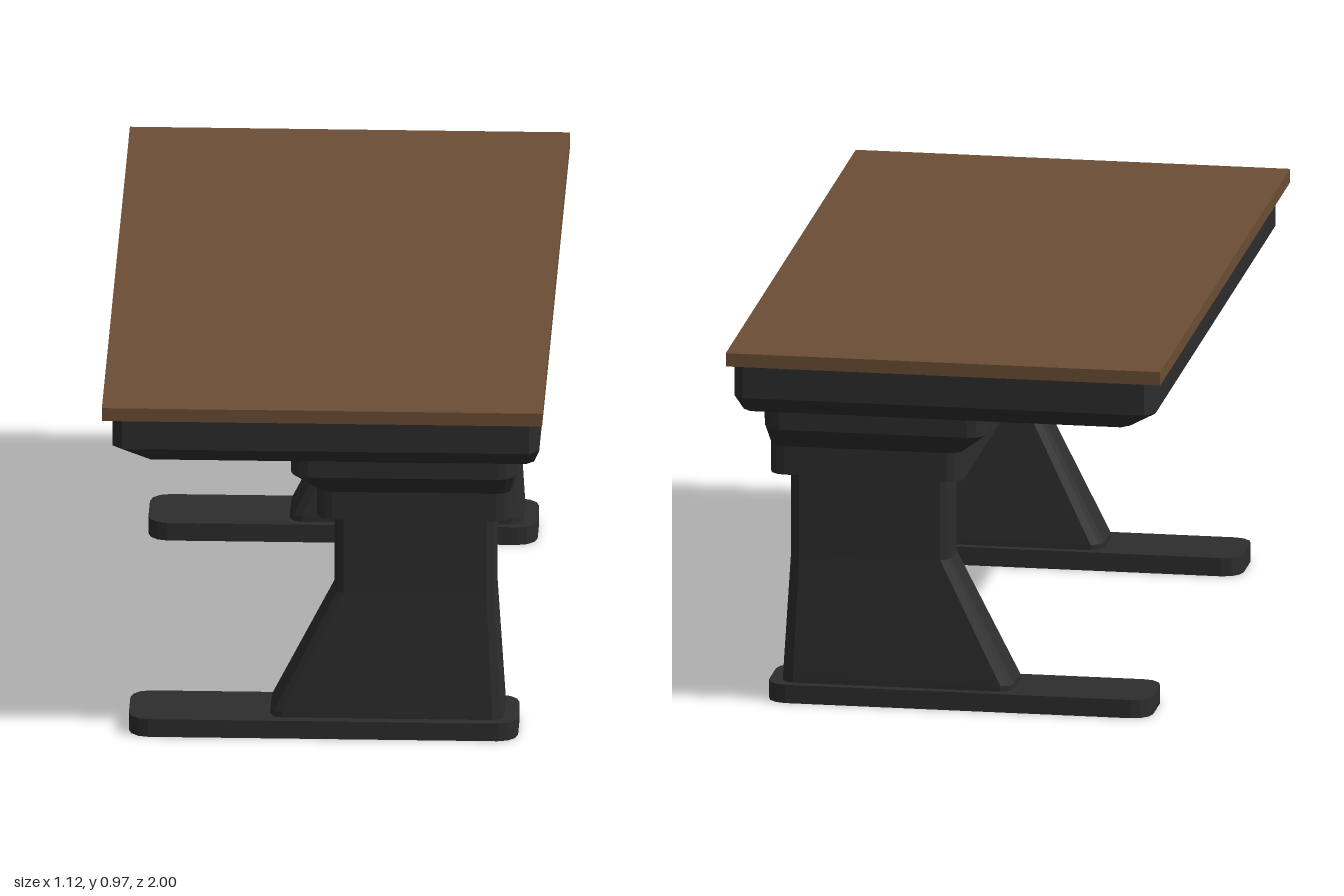
import * as THREE from 'three';

const black = new THREE.MeshStandardMaterial({ color: 0x2d2d2d });
black.name = 'black metal';
const wood = new THREE.MeshStandardMaterial({ color: 0x6c4e35 });
wood.name = 'brown wood';

// Horizontal rectangle with rounded corners, as a loop of points at height y
function ring({ y, x0, x1, z0, z1, r }, steps) {
  const points = [];
  for (let corner = 0; corner < 4; corner++) {
    const cx = corner === 0 || corner === 3 ? x1 - r : x0 + r;
    const cz = corner < 2 ? z0 + r : z1 - r;
    for (let i = 0; i <= steps; i++) {
      const a = (corner + i / steps) * Math.PI / 2;
      points.push(new THREE.Vector3(cx + r * Math.cos(a), y, cz - r * Math.sin(a)));
    }
  }
  return points;
}

// Closed faceted solid through a stack of rings, listed bottom to top
function loft(name, levels, steps) {
  const rings = levels.map((level) => ring(level, steps));
  const n = rings[0].length;
  const out = [];
  const tri = (...corners) => corners.forEach((p) => out.push(p.x, p.y, p.z));
  for (let k = 0; k < rings.length - 1; k++) {
    const a = rings[k], b = rings[k + 1];
    for (let i = 0; i < n; i++) {
      const j = (i + 1) % n;
      tri(a[i], a[j], b[j]);
      tri(a[i], b[j], b[i]);
    }
  }
  const bottom = rings[0], top = rings[rings.length - 1];
  for (let i = 1; i < n - 1; i++) {
    tri(bottom[0], bottom[i + 1], bottom[i]);
    tri(top[0], top[i], top[i + 1]);
  }
  const geometry = new THREE.BufferGeometry();
  geometry.setAttribute('position', new THREE.Float32BufferAttribute(out, 3));
  geometry.computeVertexNormals();
  const mesh = new THREE.Mesh(geometry, black);
  mesh.name = name;
  return mesh;
}

const level = (y, x0, x1, z0, z1, r) => ({ y, x0, x1, z0, z1, r });

export function createModel() {
  const model = new THREE.Group();
  model.name = 'table';

  // Wooden top
  const top = new THREE.Mesh(new THREE.BoxGeometry(1.12, 0.035, 2), wood);
  top.name = 'tabletop';
  top.position.y = 0.9525;
  model.add(top);

  // Apron with a sloping lower edge
  model.add(loft('apron', [
    level(0.79, -0.46, 0.535, -0.89, 0.89, 0.02),
    level(0.84, -0.535, 0.55, -0.95, 0.95, 0.025),
    level(0.936, -0.535, 0.55, -0.95, 0.95, 0.025),
  ], 1));

  // Shallow V below the apron along one long side
  const v = new THREE.Shape([
    new THREE.Vector2(-0.88, 0.792), new THREE.Vector2(0, 0.74), new THREE.Vector2(0.88, 0.792),
  ]);
  const wedgeGeometry = new THREE.ExtrudeGeometry(v, { depth: 0.2, bevelEnabled: false });
  wedgeGeometry.rotateY(-Math.PI / 2);
  const wedge = new THREE.Mesh(wedgeGeometry, black);
  wedge.name = 'apronWedge';
  wedge.position.x = 0.534;
  model.add(wedge);

  // Stepped support carrying the apron
  model.add(loft('support', [
    level(0.61, -0.02, 0.478, -0.83, 0.83, 0.04),
    level(0.685, -0.02, 0.478, -0.83, 0.83, 0.04),
    level(0.74, -0.085, 0.487, -0.875, 0.875, 0.045),
    level(0.792, -0.085, 0.49, -0.875, 0.875, 0.045),
  ], 3));

  // A leg and a foot at each end
  for (const side of [-1, 1]) {
    const name = side > 0 ? 'front' : 'back';
    const span = (y, x0, x1, inner, outer, r) => level(y, x0, x1,
      Math.min(side * inner, side * outer), Math.max(side * inner, side * outer), r);
    model.add(loft(name + 'Leg', [
      span(0.045, -0.14, 0.455, 0.615, 0.775, 0.03),
      span(0.062, -0.14, 0.455, 0.615, 0.775, 0.03),
      span(0.385, 0.022, 0.435, 0.635, 0.765, 0.025),
      span(0.612, 0.022, 0.435, 0.635, 0.765, 0.025),
    ], 2));
    model.add(loft(name + 'Foot', [
      span(0, -0.5, 0.49, 0.595, 0.8, 0.05),
      span(0.048, -0.5, 0.49, 0.595, 0.8, 0.05),
    ], 3));
  }
  return model;
}
